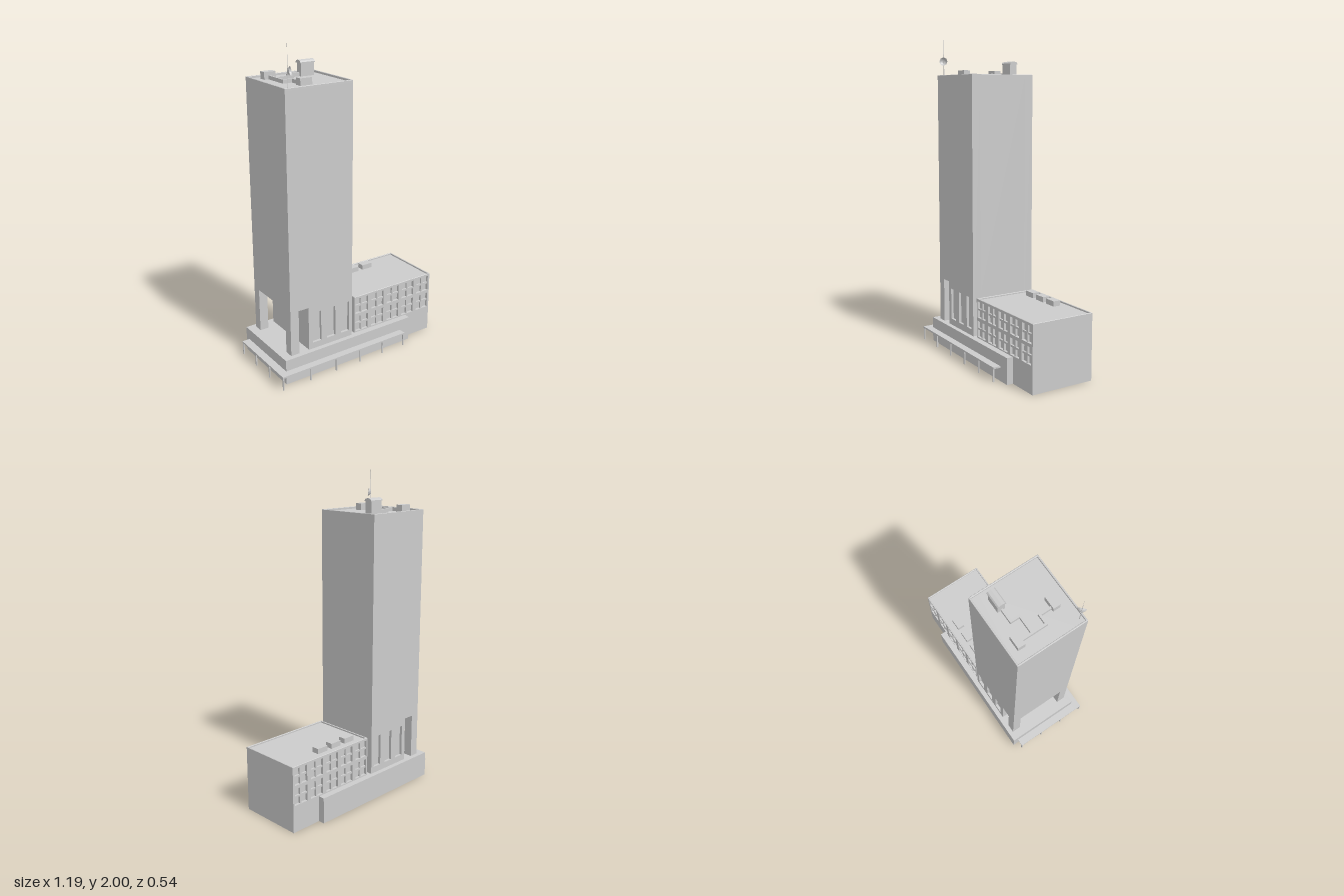
import * as THREE from 'three';

const material = new THREE.MeshStandardMaterial({ color: 0xcccccc, flatShading: true, side: THREE.DoubleSide });

function add(parent, name, geometry) {
  const mesh = new THREE.Mesh(geometry, material);
  mesh.name = name;
  parent.add(mesh);
  return mesh;
}

// Box given by its limits on each axis
function box(parent, name, x0, x1, y0, y1, z0, z1) {
  const mesh = add(parent, name, new THREE.BoxGeometry(x1 - x0, y1 - y0, z1 - z0));
  mesh.position.set((x0 + x1) / 2, (y0 + y1) / 2, (z0 + z1) / 2);
}

function rect(x0, x1, y0, y1, Type = THREE.Shape) {
  return new Type([[x0, y0], [x1, y0], [x1, y1], [x0, y1]].map(p => new THREE.Vector2(...p)));
}

// Upright wall; a notch is an opening that reaches the wall's foot
function wall(parent, name, [x0, x1, y0, y1], holes, z0, z1, notch) {
  const points = [[x0, y0], [x1, y0], [x1, y1], [x0, y1]];
  if (notch) {
    const [a, b, top] = notch;
    points.splice(1, 0, [a, y0], [a, top], [b, top], [b, y0]);
  }
  const shape = new THREE.Shape(points.map(p => new THREE.Vector2(...p)));
  holes.forEach(h => shape.holes.push(rect(...h, THREE.Path)));
  const mesh = add(parent, name, new THREE.ExtrudeGeometry(shape, { depth: z1 - z0, bevelEnabled: false }));
  mesh.position.z = z0;
}

// Rectangular rim with slightly bevelled top edges, its lower bevel sunk in the body
function parapet(parent, name, x0, x1, z0, z1, y0, y1) {
  const b = 0.002, t = 0.009;
  const shape = rect(x0 + b, x1 - b, -z1 + b, -z0 - b);
  shape.holes.push(rect(x0 + t - b, x1 - t + b, -z1 + t - b, -z0 - t + b, THREE.Path));
  const geometry = new THREE.ExtrudeGeometry(shape, {
    depth: y1 - y0 - b, bevelEnabled: true, bevelSize: b, bevelThickness: b, bevelSegments: 1,
  });
  geometry.rotateX(-Math.PI / 2);
  add(parent, name, geometry).position.y = y0;
}

function group(parent, name) {
  const g = new THREE.Group();
  g.name = name;
  parent.add(g);
  return g;
}

// Plinth, open underneath
function buildPodium(model) {
  const g = group(model, 'podium');
  const [x0, x1, z0, z1, h, t] = [-0.545, 0.393, -0.27, 0.223, 0.16, 0.003];
  box(g, 'podiumTop', x0, x1, h - t, h, z0, z1);
  box(g, 'podiumFront', x0, x1, 0, h - t, z1 - t, z1);
  box(g, 'podiumBack', x0, x1, 0, h - t, z0, z0 + t);
  box(g, 'podiumRight', x0, x0 + t, 0, h - t, z0 + t, z1 - t);
  box(g, 'podiumLeft', x1 - t, x1, 0, h - t, z0 + t, z1 - t);
}

function buildCanopy(model) {
  const g = group(model, 'canopy');
  box(g, 'frontCanopy', -0.595, 0.32, 0.08, 0.09, 0.223, 0.27);
  box(g, 'sideCanopy', -0.595, -0.545, 0.08, 0.09, -0.235, 0.223);
  const post = (x, z) => box(g, 'canopyPost', x - 0.004, x + 0.004, 0, 0.08, z - 0.004, z + 0.004);
  for (const x of [-0.59, -0.4, -0.212, -0.032, 0.143, 0.312]) post(x, 0.265);
  for (let i = 0; i < 3; i++) post(-0.59, -0.23 + i * 0.165);
}

function buildTower(model) {
  const g = group(model, 'tower');
  const [x0, x1, z0, z1, y0, roof] = [-0.49, -0.047, -0.24, 0.193, 0.16, 1.757];
  const t = 0.057, openTop = 0.443, inner = -0.364;
  const windows = [-0.305, -0.202, -0.1].map(x => [x - 0.03, x + 0.03, 0.2, 0.4]);
  // Front and back walls with the passage opening and tall windows
  for (const [name, za, zb, out] of [['frontWall', z1 - t, z1, 1], ['backWall', z0, z0 + t, -1]]) {
    wall(g, name, [x0, x1, y0, roof], windows, za, zb, [x0 + t, inner, openTop]);
    const face = out > 0 ? zb : za;
    windows.forEach(([a, b, c, d]) => {
      const pane = face - out * 0.02;
      box(g, 'tallWindow', a, b, c, d, pane - 0.003, pane + 0.003);
    });
  }
  // Core beside the covered passage and the shaft above it
  box(g, 'groundCore', inner, x1, y0, openTop, z0 + t, z1 - t);
  box(g, 'shaft', x0, x1, openTop, roof, z0 + t, z1 - t);
  parapet(g, 'towerParapet', x0, x1, z0, z1, roof, 1.77);
  buildTowerRoof(g, roof);
}

function buildTowerRoof(parent, y) {
  const g = group(parent, 'roofEquipment');
  g.position.x = 0.003;
  box(g, 'ventUnit', -0.425, -0.35, y, 1.8, -0.19, -0.145);
  box(g, 'ventUnit', -0.352, -0.275, y, 1.798, 0.077, 0.122);
  // Ducts linking the units
  const duct = (a, b, c, d) => box(g, 'duct', a, b, y, 1.779, c, d);
  duct(-0.397, -0.384, -0.145, 0.013);
  duct(-0.384, -0.325, 0.0, 0.013);
  duct(-0.338, -0.325, 0.013, 0.077);
  duct(-0.384, -0.273, -0.086, -0.074);
  duct(-0.286, -0.273, -0.141, -0.086);
  duct(-0.273, -0.2, -0.141, -0.129);

  // Stair house with a ridged cap
  box(g, 'stairHouse', -0.199, -0.111, y, 1.836, -0.16, -0.115);
  const cap = new THREE.Shape([
    [-0.026, 0], [0.026, 0], [0.026, 0.006], [0.019, 0.014], [0, 0.019], [-0.019, 0.014], [-0.026, 0.006],
  ].map(p => new THREE.Vector2(...p)));
  const capMesh = add(g, 'stairHouseCap', new THREE.ExtrudeGeometry(cap, { depth: 0.1, bevelEnabled: false }));
  capMesh.rotation.y = Math.PI / 2;
  capMesh.position.set(-0.205, 1.833, -0.1375);

  // Mast with a dish
  const mast = add(g, 'mast', new THREE.CylinderGeometry(0.0006, 0.0022, 2 - y, 8));
  mast.position.set(-0.457, (2 + y) / 2, 0.166);
  const profile = [[0, 0], [0.011, 0.002], [0.02, 0.008], [0.026, 0.016]].map(p => new THREE.Vector2(...p));
  const dish = add(g, 'dish', new THREE.LatheGeometry(profile, 16));
  dish.position.set(-0.457, 1.853, 0.164);
  dish.quaternion.setFromUnitVectors(new THREE.Vector3(0, 1, 0), new THREE.Vector3(1, 0.2, 1).normalize());
}

// Low wing, open underneath
function buildWing(model) {
  const g = group(model, 'wing');
  const [x0, x1, z0, z1, roof, t] = [-0.02, 0.594, -0.23, 0.183, 0.398, 0.02];
  const windows = [];
  for (let i = 0; i < 5; i++) {
    for (const y of [0.218, 0.341]) {
      const x = 0.037 + i * 0.1238;
      windows.push([x - 0.048, x + 0.048, y - 0.051, y + 0.051]);
    }
  }
  for (const [name, za, zb, out] of [['wingFrontWall', z1 - t, z1, 1], ['wingBackWall', z0, z0 + t, -1]]) {
    wall(g, name, [x0, x1, 0, roof], windows, za, zb);
    const face = out > 0 ? zb : za;
    const bar = face - out * 0.01, pane = face - out * 0.018;
    // Recessed panes with crossing bars
    for (const [a, b, c, d] of windows) {
      const x = (a + b) / 2, y = (c + d) / 2;
      box(g, 'windowPane', a, b, c, d, pane - 0.001, pane + 0.001);
      box(g, 'uprightBar', x - 0.006, x + 0.006, c, d, bar - 0.006, bar + 0.006);
      box(g, 'crossBar', a, b, y - 0.006, y + 0.006, bar - 0.0055, bar + 0.0055);
    }
  }
  box(g, 'wingLeftWall', x1 - 0.004, x1, 0, roof, z0 + t, z1 - t);
  box(g, 'wingRightWall', x0, x0 + 0.004, 0, roof, z0 + t, z1 - t);
  box(g, 'wingRoof', x0, x1, roof - 0.003, roof, z0, z1);
  parapet(g, 'wingParapet', x0, x1, z0, z1, roof, 0.408);
  for (let i = 0; i < 3; i++) {
    const x = 0.053 + i * 0.11;
    box(g, 'wingVentUnit', x, x + 0.077, roof, 0.43, -0.18, -0.132);
  }
}

export function createModel() {
  const model = new THREE.Group();
  model.name = 'officeTower';
  buildPodium(model);
  buildCanopy(model);
  buildTower(model);
  buildWing(model);
  return model;
}
